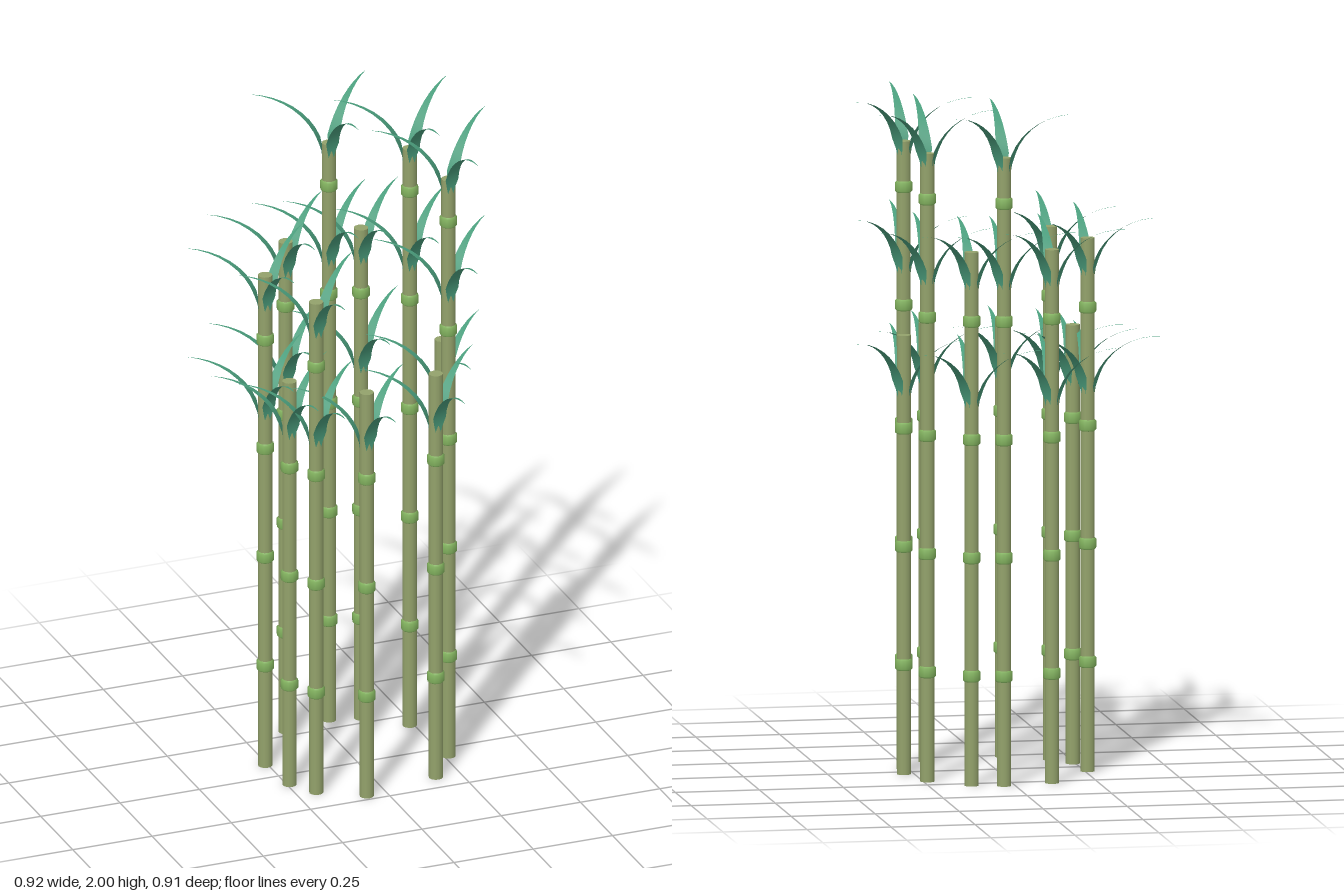
import * as THREE from 'three';

const stalkMat = new THREE.MeshStandardMaterial({ name: 'olive cane', color: 0x93a26b });
const jointMat = new THREE.MeshStandardMaterial({ name: 'fresh green joint', color: 0x84b560 });
const leafMat = new THREE.MeshStandardMaterial({ name: 'teal leaf', color: 0x4a9d7c, side: THREE.DoubleSide });

// x, z and number of joints of each cane in the ring
const canes = [
  [-0.115, -0.28, 4], [0.033, -0.308, 5], [0.125, -0.285, 4], [0.238, -0.185, 5],
  [0.28, -0.038, 3], [0.263, 0.055, 5], [0.174, 0.178, 3], [-0.062, 0.223, 3],
  [-0.19, 0.145, 4], [-0.242, 0.065, 3], [-0.258, -0.085, 4],
];
const leafAngles = [40, 150, 270]; // degrees, counter-clockwise seen from above
const STEP = 0.35;

// Thin blade: rises steeply along +x, then bends over to a level tip
function leafGeometry() {
  const steps = 10;
  const pos = [], index = [];
  for (let i = 0; i <= steps; i++) {
    const t = i / steps, a = t * Math.PI / 2;
    const x = 0.018 + 0.215 * (1 - Math.cos(a));
    const y = 0.19 * Math.sin(a);
    const w = t < 0.2 ? 0.006 + 0.07 * t : 0.02 * (1 - t) / 0.8;
    pos.push(x, y, -w, x, y, w);
    if (i < steps) {
      const k = i * 2;
      index.push(k, k + 1, k + 2, k + 1, k + 3, k + 2);
    }
  }
  const g = new THREE.BufferGeometry();
  g.setAttribute('position', new THREE.Float32BufferAttribute(pos, 3));
  g.setIndex(index);
  g.computeVertexNormals();
  return g;
}

// Bulging ring around the cane
function jointGeometry() {
  const profile = [[0.02, -0.018], [0.026, -0.012], [0.026, 0.012], [0.02, 0.018]];
  return new THREE.LatheGeometry(profile.map(([r, y]) => new THREE.Vector2(r, y)), 12);
}

export function createModel() {
  const model = new THREE.Group();
  model.name = 'bambooCluster';
  const leafGeo = leafGeometry();
  const jointGeo = jointGeometry();

  const add = (parent, name, geo, mat, y) => {
    const mesh = new THREE.Mesh(geo, mat);
    mesh.name = name;
    mesh.position.y = y;
    parent.add(mesh);
    return mesh;
  };

  for (const [x, z, joints] of canes) {
    const cane = new THREE.Group();
    cane.name = 'cane';
    cane.position.set(x, 0, z);
    model.add(cane);

    const height = 1.3 + 0.28 * (joints - 3);
    add(cane, 'stalk', new THREE.CylinderGeometry(0.021, 0.021, height, 12), stalkMat, height / 2);

    for (let i = 0; i < joints; i++) {
      const y = 0.325 + STEP * i;
      add(cane, 'joint', jointGeo, jointMat, y);
      // leaves only above the top two joints, never on the lower cane
      if (i < 2 || i < joints - 2) continue;
      for (const deg of leafAngles) {
        add(cane, 'leaf', leafGeo, leafMat, 1.11 + STEP * (i - 2)).rotation.y = THREE.MathUtils.degToRad(deg);
      }
    }
  }
  return model;
}
